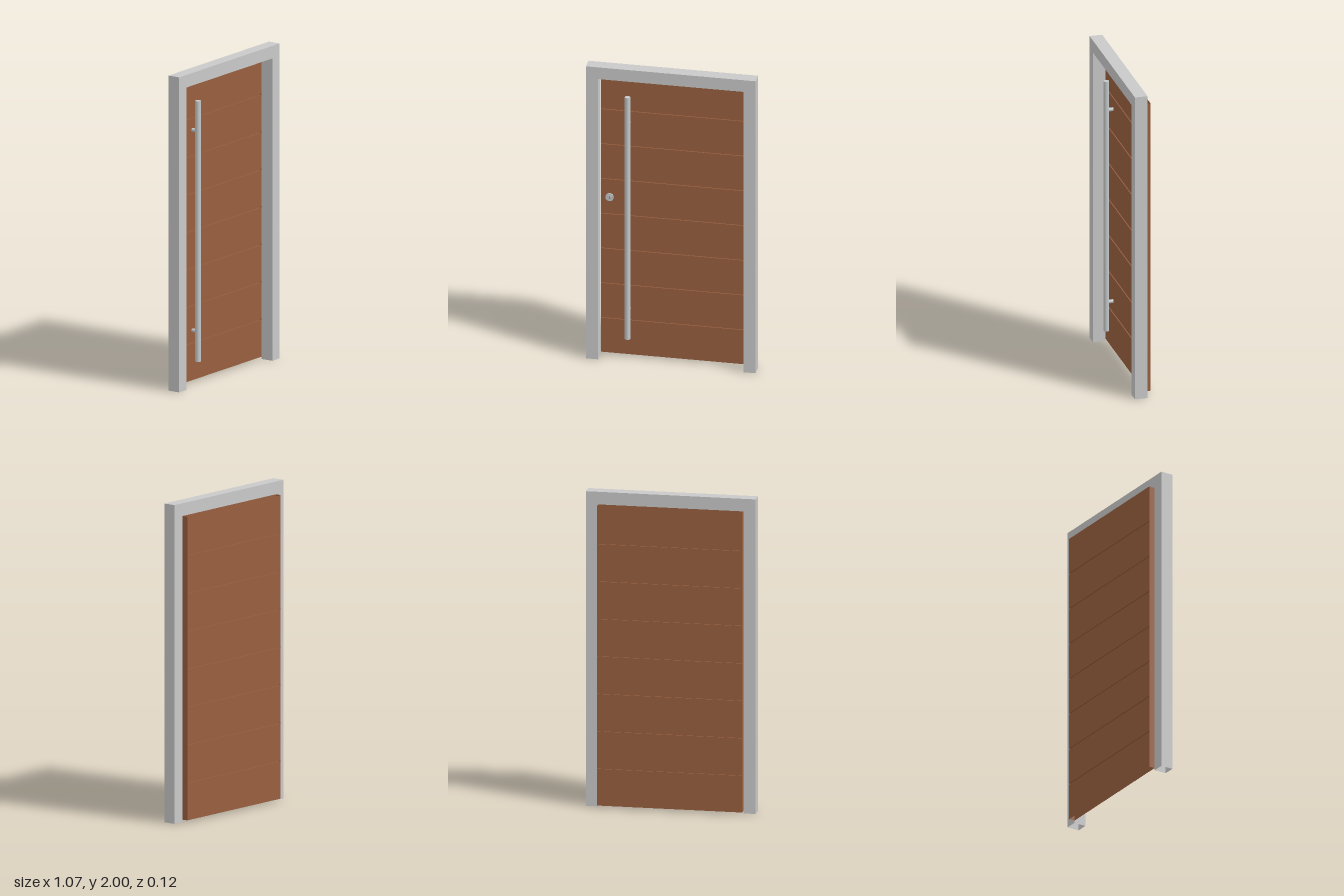
import * as THREE from 'three';

const mat = (name, color, side = THREE.FrontSide) => {
  const m = new THREE.MeshStandardMaterial({ color, side });
  m.name = name;
  return m;
};

// Strip of flat faces that follows a 2D path between two ends, a and b
function ribbon(path, a, b, place) {
  const g = new THREE.PlaneGeometry(1, 1, 1, path.length - 1);
  const pos = g.attributes.position;
  path.forEach((p, row) => {
    pos.setXYZ(row * 2, ...place(p, a));
    pos.setXYZ(row * 2 + 1, ...place(p, b));
  });
  const flat = g.toNonIndexed();
  flat.computeVertexNormals();
  return flat;
}

export function createModel() {
  const model = new THREE.Group();
  model.name = 'entranceDoor';

  const frameGrey = mat('frame grey', 0xc9c9c9, THREE.DoubleSide);
  const wood = mat('wood brown', 0x985f3f, THREE.DoubleSide);
  const steel = mat('brushed steel', 0xc4c8c8);
  const slotDark = mat('key slot dark', 0x4a4a4a);

  const add = (parent, name, geometry, material, x = 0, y = 0, z = 0) => {
    const mesh = new THREE.Mesh(geometry, material);
    mesh.name = name;
    mesh.position.set(x, y, z);
    parent.add(mesh);
    return mesh;
  };
  const group = (name) => {
    const g = new THREE.Group();
    g.name = name;
    model.add(g);
    return g;
  };

  // Frame: hollow portal, open under the two legs
  const frame = group('frame');
  const zFront = 0.06, zBack = -0.021;
  const arch = (w, h) => [[-w, 0], [-w, h], [w, h], [w, 0]];
  const outer = arch(0.533, 2), inner = arch(0.457, 1.92);
  const alongZ = ([x, y], z) => [x, y, z];
  const face = new THREE.Shape(
    [...outer, ...inner.slice().reverse()].map(([x, y]) => new THREE.Vector2(x, y)));
  add(frame, 'frameFront', new THREE.ShapeGeometry(face), frameGrey, 0, 0, zFront);
  add(frame, 'frameBack', new THREE.ShapeGeometry(face).rotateY(Math.PI).scale(1, 1, 1),
    frameGrey, 0, 0, zBack);
  add(frame, 'frameOuterSides', ribbon(outer, zFront, zBack, alongZ), frameGrey);
  add(frame, 'frameInnerSides', ribbon(inner, zBack, zFront, alongZ), frameGrey);

  // Door leaf: two grooved skins joined by side edges, open at top and bottom
  const leaf = group('doorLeaf');
  const bottom = 0.015, top = 1.92, planks = 8, halfWidth = 0.456;
  const skinFront = -0.021, skinBack = -0.06, groove = 0.005, depth = 0.008;
  const grooved = (z, inward) => {
    const path = [[top, z]];
    for (let i = planks - 1; i > 0; i--) {
      const y = bottom + (top - bottom) * i / planks;
      path.push([y + groove, z], [y + groove, z + inward],
        [y - groove, z + inward], [y - groove, z]);
    }
    path.push([bottom, z]);
    return path;
  };
  const alongX = ([y, z], x) => [x, y, z];
  add(leaf, 'frontSkin', ribbon(grooved(skinFront, -depth), -halfWidth, halfWidth, alongX), wood);
  add(leaf, 'backSkin', ribbon(grooved(skinBack, depth), halfWidth, -halfWidth, alongX), wood);
  for (const s of [-1, 1]) {
    const edge = new THREE.PlaneGeometry(skinFront - skinBack, top - bottom).rotateY(s * Math.PI / 2);
    add(leaf, s < 0 ? 'rightEdge' : 'leftEdge', edge, wood,
      s * halfWidth, (top + bottom) / 2, (skinFront + skinBack) / 2);
  }

  // Long pull bar on two standoffs
  const pull = group('pullHandle');
  const barX = -0.279, barZ = 0.022, barY = 0.968;
  add(pull, 'bar', new THREE.CylinderGeometry(0.0175, 0.0175, 1.655, 24), steel, barX, barY, barZ);
  for (const s of [-1, 1]) {
    const post = new THREE.CylinderGeometry(0.012, 0.012, barZ - skinFront, 16).rotateX(Math.PI / 2);
    add(pull, 'standoff', post, steel, barX, barY + s * 0.636, (barZ + skinFront) / 2);
  }

  // Lock: rosette, cylinder and key slot
  const lock = group('lock');
  const disc = (r, h) => new THREE.CylinderGeometry(r, r, h, 20).rotateX(Math.PI / 2);
  add(lock, 'rosette', disc(0.026, 0.008), steel, -0.4, 1.08, skinFront + 0.004);
  add(lock, 'lockCylinder', disc(0.014, 0.004), steel, -0.4, 1.08, skinFront + 0.01);
  add(lock, 'keySlot', new THREE.BoxGeometry(0.004, 0.016, 0.002), slotDark,
    -0.4, 1.08, skinFront + 0.0125);

  return model;
}
